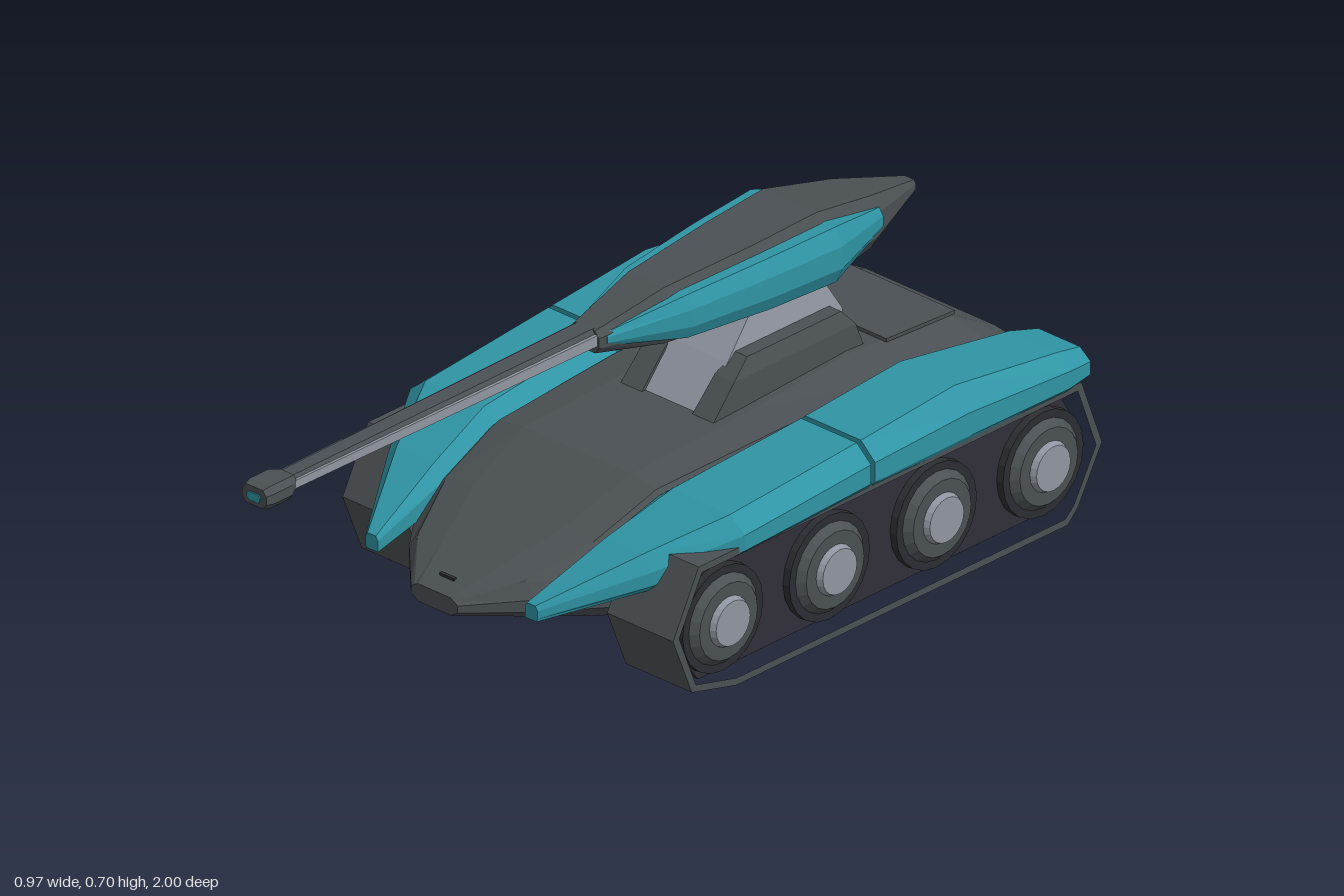
import * as THREE from 'three';

const mat = (name, color) => {
  const m = new THREE.MeshStandardMaterial({ color });
  m.name = name;
  return m;
};

export function createModel() {
  const root = new THREE.Group();
  root.name = 'tank';
  const armour = mat('armour grey', 0x4a5053);
  const teal = mat('teal panel', 0x2f94a4);
  const pale = mat('pale metal', 0x8f95a0);
  const rubber = mat('dark wheel', 0x2c2d32);
  const shadow = mat('dark running gear', 0x302e38);

  const add = (name, geo, material, parent = root) => {
    const g = geo.index ? geo.toNonIndexed() : geo;
    g.computeVertexNormals();
    const m = new THREE.Mesh(g, material);
    m.name = name;
    parent.add(m);
    return m;
  };

  // Closed faceted skin over convex cross-sections [z, [[x, y], ...]], corners counter-clockwise
  const loft = (sections, mirror = 1) => {
    const rings = [...sections].sort((a, b) => a[0] - b[0]).map(([z, pts]) => {
      const ring = pts.map(([x, y]) => [x * mirror, y, z]);
      return mirror < 0 ? ring.reverse() : ring;
    });
    const v = [];
    const n = rings[0].length;
    for (let i = 0; i < rings.length - 1; i++) {
      for (let j = 0; j < n; j++) {
        const k = (j + 1) % n;
        const a = rings[i][j], b = rings[i][k], c = rings[i + 1][k], d = rings[i + 1][j];
        v.push(...a, ...b, ...c, ...a, ...c, ...d);
      }
    }
    const low = rings[0], high = rings[rings.length - 1];
    for (let j = 1; j < n - 1; j++) {
      v.push(...low[0], ...low[j + 1], ...low[j], ...high[0], ...high[j], ...high[j + 1]);
    }
    const g = new THREE.BufferGeometry();
    g.setAttribute('position', new THREE.Float32BufferAttribute(v, 3));
    return g;
  };

  // Full section from its right-hand half, listed bottom to top
  const symmetric = (half) => [...half, ...half.map(([x, y]) => [-x, y]).reverse()];
  // Octagonal section with half width w
  const octagon = (w, y0, y1, flat = 0.72, cut = 0.28) => {
    const c = (y1 - y0) * cut;
    return symmetric([[w * flat, y0], [w, y0 + c], [w, y1 - c], [w * flat, y1]]);
  };
  // Upright block from levels [y, x0, x1, zFront, zBack]
  const block = (levels, mirror = 1) => loft(levels.map(([y, x0, x1, zf, zb]) =>
    [y, [[x0, -zf], [x1, -zf], [x1, -zb], [x0, -zb]]]), mirror).rotateX(-Math.PI / 2);

  // Hull: z, bottom w/y, side w/low y/high y, deck edge w/y, deck centre w/y
  const hull = [
    [0.47, 0.045, 0.16, 0.065, 0.172, 0.188, 0.055, 0.195, 0.045, 0.2],
    [0.36, 0.13, 0.147, 0.175, 0.172, 0.2, 0.15, 0.235, 0.08, 0.245],
    [0.22, 0.25, 0.14, 0.28, 0.17, 0.23, 0.205, 0.29, 0.13, 0.3],
    [0.05, 0.25, 0.14, 0.28, 0.17, 0.27, 0.22, 0.352, 0.15, 0.362],
    [-0.3, 0.25, 0.14, 0.28, 0.17, 0.28, 0.235, 0.365, 0.15, 0.375],
    [-0.6, 0.25, 0.14, 0.28, 0.17, 0.28, 0.24, 0.365, 0.14, 0.39],
    [-0.88, 0.25, 0.14, 0.28, 0.17, 0.28, 0.25, 0.355, 0.15, 0.375],
    [-0.98, 0.22, 0.21, 0.27, 0.24, 0.29, 0.25, 0.315, 0.18, 0.325],
  ];
  add('hull', loft(hull.map(([z, bw, by, sw, s0, s1, ew, ey, cw, cy]) =>
    [z, symmetric([[bw, by], [sw, s0], [sw, s1], [ew, ey], [cw, cy]])])), armour);
  add('enginePanel', new THREE.BoxGeometry(0.31, 0.008, 0.2).rotateX(-0.05).translate(0, 0.384, -0.79), armour);
  add('visionSlit', new THREE.BoxGeometry(0.04, 0.006, 0.008).translate(0, 0.218, 0.43), shadow);

  // Fender section: inner x, outer x, top y, shoulder y, bottom y
  const fender = (z, xi, xo, yt, ys, yb) => {
    const c = (xo - xi) * 0.17;
    return [z, [[xi, yb], [xo - c * 0.4, yb], [xo, yb + (ys - yb) * 0.3], [xo, ys],
      [xo - c, yt], [xi + c, yt], [xi, ys]]];
  };
  const frontFender = [
    fender(0.42, 0.205, 0.24, 0.23, 0.22, 0.195),
    fender(0.22, 0.212, 0.37, 0.312, 0.28, 0.235),
    fender(0.05, 0.22, 0.467, 0.368, 0.335, 0.285),
    fender(-0.315, 0.235, 0.47, 0.396, 0.36, 0.297),
  ];
  const rearFender = [
    fender(-0.327, 0.235, 0.47, 0.397, 0.36, 0.297),
    fender(-0.6, 0.24, 0.47, 0.42, 0.37, 0.295),
    fender(-0.9, 0.262, 0.468, 0.383, 0.352, 0.297),
    fender(-0.97, 0.282, 0.458, 0.368, 0.345, 0.303),
  ];

  // Side profile (z, y) given thickness along x, centred at x
  const sideExtrude = (pts, depth, x, hole) => {
    const shape = new THREE.Shape(pts.map((p) => new THREE.Vector2(...p)));
    if (hole) shape.holes.push(new THREE.Path(hole.map((p) => new THREE.Vector2(...p))));
    return new THREE.ExtrudeGeometry(shape, { depth, bevelEnabled: false })
      .translate(0, 0, -depth / 2).rotateY(-Math.PI / 2).translate(x, 0, 0);
  };
  const trackOuter = [[0.18, 0.31], [0.255, 0.168], [0.2, 0.032], [0.07, 0], [-0.9, 0],
    [-0.93, 0.03], [-1, 0.152], [-0.94, 0.31]];
  const trackInner = [[0.17, 0.294], [0.237, 0.168], [0.188, 0.045], [0.068, 0.016], [-0.892, 0.016],
    [-0.917, 0.038], [-0.982, 0.152], [-0.929, 0.294]];
  const core = [[0.17, 0.285], [0.225, 0.2], [0.225, 0.13], [0.16, 0.04], [-0.88, 0.04],
    [-0.95, 0.13], [-0.95, 0.2], [-0.9, 0.285]];
  const disc = (r0, r1, x0, x1, side, z) => new THREE.CylinderGeometry(r1, r0, x1 - x0, 20)
    .rotateZ(-Math.PI / 2 * side).translate(side * (x0 + x1) / 2, 0.163, z);

  // Head cheek section: outer x, bottom y, top y
  const cheek = (z, x, y0, y1) => {
    const h = (y1 - y0) * 0.3;
    return [z, [[x * 0.4, y0], [x * 0.86, y0], [x, y0 + h], [x, y1 - h], [x * 0.86, y1], [x * 0.4, y1]]];
  };

  for (const side of [1, -1]) {
    const half = new THREE.Group();
    half.name = side > 0 ? 'leftSide' : 'rightSide';
    root.add(half);
    add('frontFender', loft(frontFender, side), teal, half);
    add('rearFender', loft(rearFender, side), teal, half);

    // Running gear
    add('track', sideExtrude(trackOuter, 0.184, side * 0.369, trackInner), armour, half);
    add('trackCore', sideExtrude(core, 0.15, side * 0.365), shadow, half);
    for (const z of [0.105, -0.207, -0.52, -0.832]) {
      add('tyre', disc(0.125, 0.118, 0.29, 0.457, side, z), rubber, half);
      add('wheelRim', disc(0.1, 0.085, 0.457, 0.473, side, z), armour, half);
      add('wheelHub', disc(0.056, 0.05, 0.473, 0.486, side, z), pale, half);
    }

    // Turret bracket and head cheek
    add('turretBracket', block([[0.36, 0.07, 0.13, -0.2, -0.66], [0.44, 0.072, 0.127, -0.275, -0.63],
      [0.475, 0.08, 0.115, -0.325, -0.6]], side), armour, half);
    add('headCheek', loft([cheek(0.01, 0.045, 0.598, 0.628), cheek(-0.18, 0.1, 0.562, 0.66),
      cheek(-0.4, 0.125, 0.552, 0.67), cheek(-0.58, 0.138, 0.55, 0.676),
      cheek(-0.76, 0.08, 0.58, 0.635)], side), teal, half);
    add('barrelRail', loft([[0, [[0.02, 0.603], [0.036, 0.603], [0.036, 0.628], [0.02, 0.628]]],
      [0.93, [[0.012, 0.605], [0.027, 0.605], [0.027, 0.623], [0.012, 0.623]]]], side), pale, half);
  }

  // Turret neck and head
  add('turretNeck', block([[0.36, -0.086, 0.086, -0.21, -0.65], [0.46, -0.084, 0.084, -0.3, -0.635],
    [0.54, -0.068, 0.068, -0.385, -0.59]]), pale);
  add('turretHead', loft([
    [0.03, octagon(0.04, 0.585, 0.636)],
    [-0.15, octagon(0.07, 0.548, 0.675)],
    [-0.4, octagon(0.096, 0.53, 0.688)],
    [-0.57, octagon(0.104, 0.525, 0.697)],
    [-0.75, octagon(0.075, 0.54, 0.66)],
    [-0.92, octagon(0.018, 0.59, 0.618)],
  ]), armour);

  // Gun
  add('barrel', loft([[0, octagon(0.03, 0.594, 0.638)], [0.93, octagon(0.022, 0.598, 0.63)]]), armour);
  add('muzzle', loft([[0.9, octagon(0.026, 0.596, 0.632)], [0.925, octagon(0.038, 0.588, 0.638)],
    [0.98, octagon(0.038, 0.588, 0.638)], [0.997, octagon(0.034, 0.592, 0.634)]]), armour);
  add('bore', loft([[0.994, octagon(0.018, 0.602, 0.621)], [1, octagon(0.018, 0.602, 0.621)]]), teal);

  return root;
}
